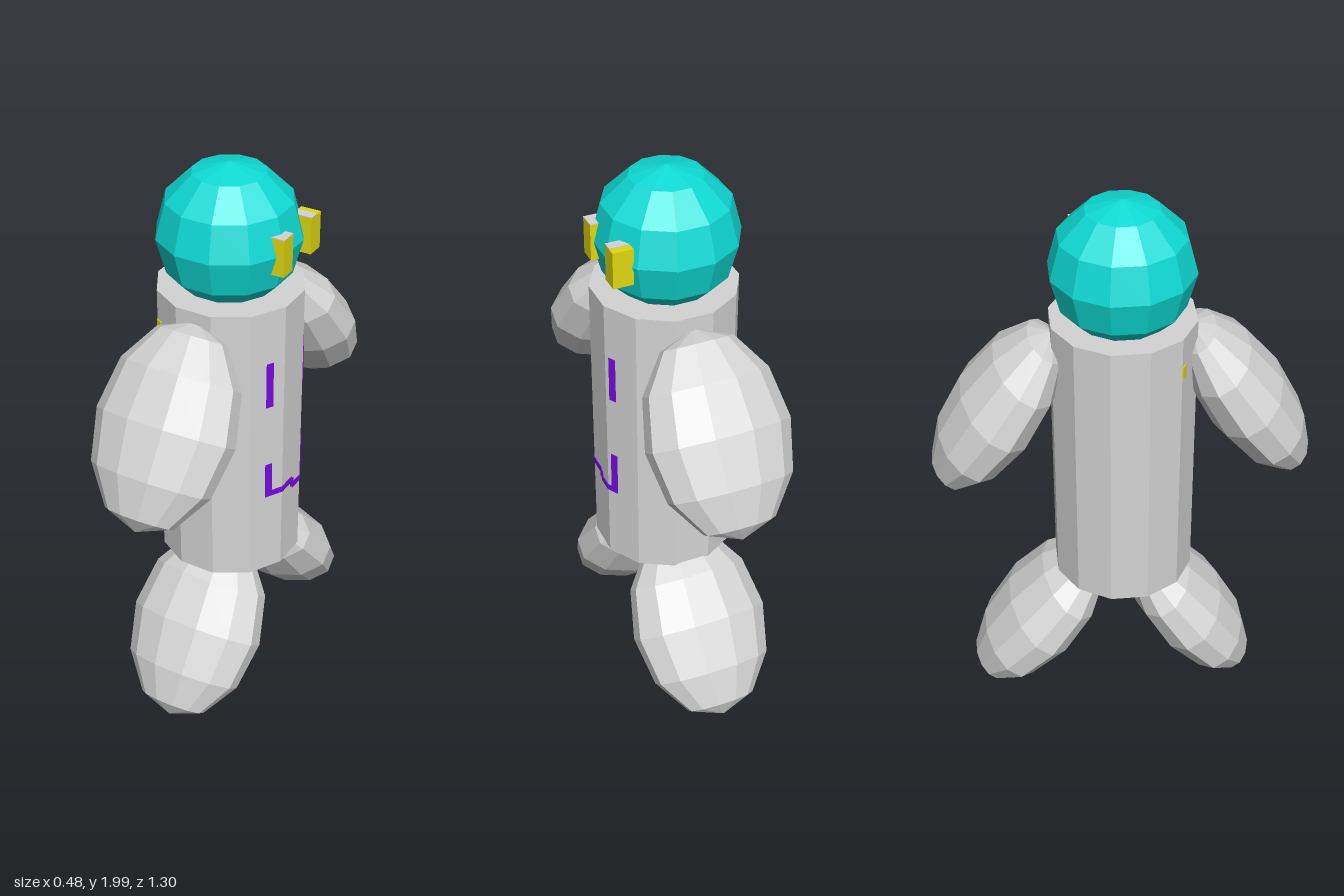
import * as THREE from 'three';

const flat = (name, color) => {
  const m = new THREE.MeshStandardMaterial({ color, flatShading: true });
  m.name = name;
  return m;
};

export function createModel() {
  const grey = flat('grey', 0xd4d4d4);
  const teal = flat('teal', 0x0edad4);
  const yellow = flat('yellow', 0xdfd810);
  const purple = flat('purple', 0x780ade);

  const group = new THREE.Group();
  const TURN = Math.PI / 12; // turns the twelve-sided forms so a flat side faces +x
  const CZ = 0.008;

  const add = (name, geometry, material, x, y, z) => {
    const mesh = new THREE.Mesh(geometry, material);
    mesh.name = name;
    mesh.position.set(x, y, z);
    group.add(mesh);
    return mesh;
  };
  const box = (name, material, x0, x1, y0, y1, z0, z1) =>
    add(name, new THREE.BoxGeometry(x1 - x0, y1 - y0, z1 - z0), material,
      (x0 + x1) / 2, (y0 + y1) / 2, (z0 + z1) / 2);

  // Body: twelve-sided column
  add('body', new THREE.CylinderGeometry(0.247, 0.247, 1.03, 12, 1, false, TURN), grey, 0, 1.065, CZ);

  // Head: faceted ball
  add('head', new THREE.SphereGeometry(0.243, 12, 6).rotateY(TURN), teal, -0.006, 1.757, 0.006);

  // Limbs: flattened faceted ellipsoids that splay to the front and back
  const limb = (name, y, z, halfLength, degrees) => {
    const g = new THREE.SphereGeometry(1, 12, 6).rotateY(TURN);
    g.scale(0.249, halfLength, 0.146);
    g.rotateX(THREE.MathUtils.degToRad(-degrees));
    add(name, g, grey, 0, y, z);
  };
  limb('frontArm', 1.247, 0.424, 0.35, 34);
  limb('backArm', 1.247, -0.418, 0.345, -35);
  limb('frontLeg', 0.295, 0.252, 0.345, 36);
  limb('backLeg', 0.318, -0.3, 0.345, -40);

  // Eyes with grey upper faces
  box('frontEye', yellow, 0.17, 0.24, 1.695, 1.822, 0.037, 0.095);
  box('frontEyeTop', grey, 0.17, 0.24, 1.822, 1.825, 0.037, 0.095);
  box('backEye', yellow, 0.17, 0.24, 1.695, 1.822, -0.148, -0.086);
  box('backEyeTop', grey, 0.17, 0.24, 1.822, 1.825, -0.12, -0.086);

  // Painted strips, each lying on one facet of the +x side of the body
  const flatX = 0.247 * Math.cos(TURN), halfFlat = 0.247 * Math.sin(TURN);
  const strip = (name, z0, z1, y0, y1) => {
    const z = (z0 + z1) / 2, off = z - CZ;
    const side = Math.abs(off) > halfFlat ? Math.sign(off) : 0;
    const angle = side * Math.PI / 6;
    const x = flatX - (side ? (Math.abs(off) - halfFlat) * Math.tan(Math.PI / 6) : 0);
    const g = new THREE.BoxGeometry(0.006, y1 - y0, (z1 - z0) / Math.cos(angle));
    add(name, g, purple, x, (y0 + y1) / 2, z).rotation.y = -angle;
  };
  for (const [name, z] of [['front', 0.12], ['back', -0.081]]) {
    strip(name + 'ChestStripe', z - 0.011, z + 0.011, 1.22, 1.387);
    strip(name + 'BellyStripe', z - 0.011, z + 0.011, name === 'front' ? 0.857 : 0.828, 0.99);
  }
  strip('bellyLine', 0.072, 0.115, 0.857, 0.878);
  strip('bellyLine', 0.005, 0.072, 0.857, 0.878);
  strip('bellyLine', -0.008, 0.012, 0.84, 0.868);
  strip('bellyLine', -0.056, 0.0, 0.828, 0.849);
  strip('bellyLine', -0.085, -0.056, 0.828, 0.849);

  // Small mark beside the front shoulder
  const mark = box('shoulderMark', yellow, -0.175, -0.15, 1.43, 1.475, 0.185, 0.193);
  mark.rotation.y = -Math.PI / 6;

  return group;
}
